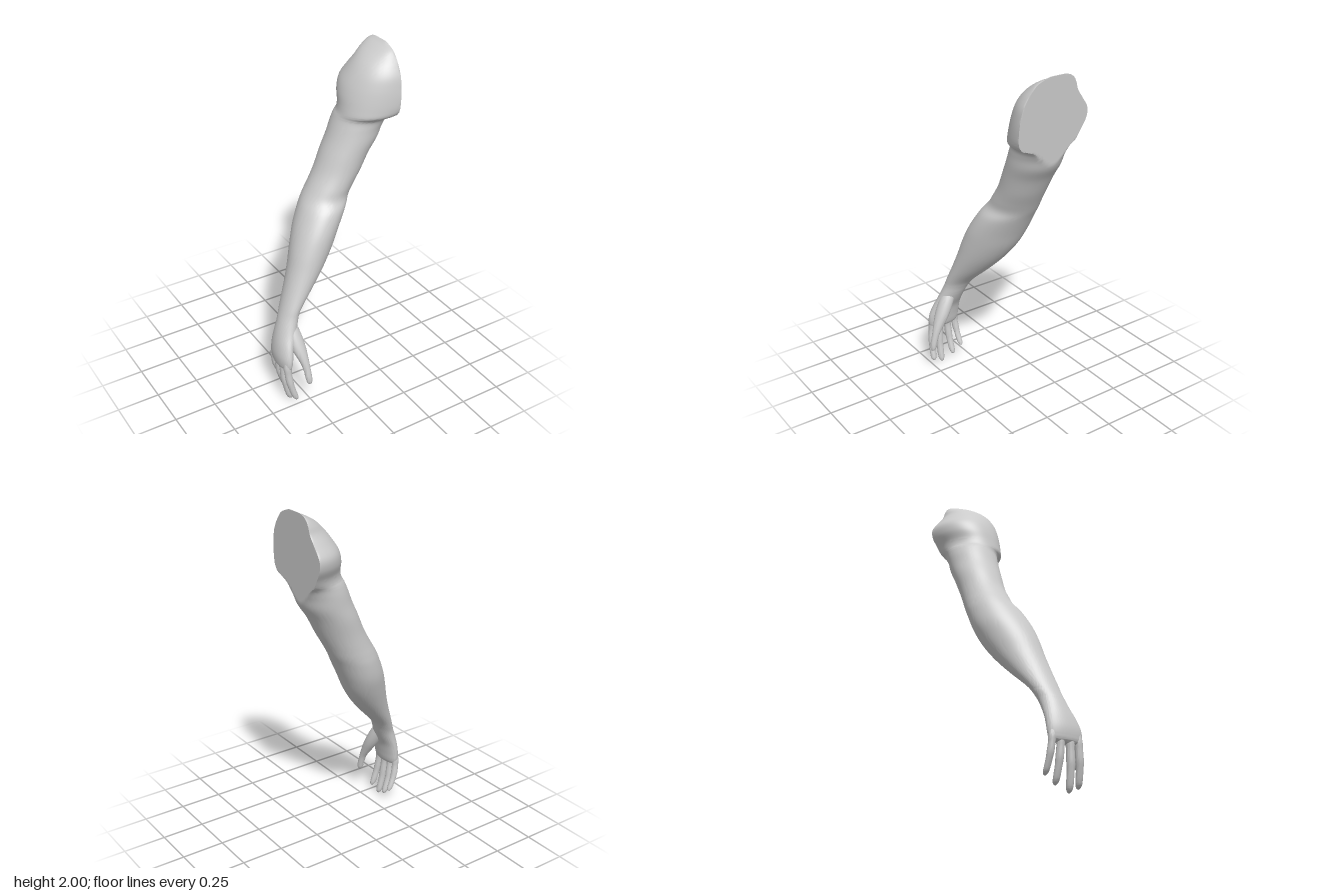
import * as THREE from 'three';
import { mergeVertices, toCreasedNormals } from 'three/addons/utils/BufferGeometryUtils.js';

const material = new THREE.MeshStandardMaterial({ color: 0xcccccc });

// The flat shoulder cut leans slightly outward towards the top
const cutX = (y) => 0.385 + 0.025 * (y - 1.45) / 0.55;

// Smooth skin through level elliptical sections [y, xMin, xMax, zMin, zMax, skew],
// listed from bottom to top, trimmed at the shoulder cut
function loft(rows, steps, sides) {
  const columns = [0, 1, 2, 3, 4, 5].map((c) =>
    new THREE.SplineCurve(rows.map((r, i) => new THREE.Vector2(i, r[c] || 0))));
  const pos = [], index = [];
  const count = (rows.length - 1) * steps;
  const centre = [];
  for (let i = 0; i <= count; i++) {
    const [y, x0, x1, z0, z1, skew] = columns.map((c) => c.getPoint(i / count).y);
    for (let j = 0; j < sides; j++) {
      const a = (j / sides) * Math.PI * 2;
      const x = (x0 + x1) / 2 + (x1 - x0) / 2 * Math.cos(a);
      const z = (z0 + z1) / 2 + (z1 - z0) / 2 * Math.sin(a + skew);
      pos.push(Math.min(x, cutX(y)), y, z);
    }
    centre.push([Math.min((x0 + x1) / 2, cutX(y)), y, (z0 + z1) / 2]);
  }
  for (let i = 0; i < count; i++) {
    for (let j = 0; j < sides; j++) {
      const a = i * sides + j, c = i * sides + (j + 1) % sides;
      index.push(a, a + sides, c, c, a + sides, c + sides);
    }
  }
  // Close both ends
  const low = pos.length / 3;
  pos.push(...centre[0], ...centre[count]);
  for (let j = 0; j < sides; j++) {
    const k = (j + 1) % sides, top = count * sides;
    index.push(low, j, k, low + 1, top + k, top + j);
  }
  const geometry = new THREE.BufferGeometry();
  geometry.setAttribute('position', new THREE.Float32BufferAttribute(pos, 3));
  geometry.setIndex(index);
  return toCreasedNormals(mergeVertices(geometry, 1e-5), 0.75);
}

// Section from its centre and radii
const oval = (y, x, z, rx, rz = rx) => [y, x - rx, x + rx, z - rz, z + rz, 0];

// Palm, wrist, forearm and elbow
const lowerArm = [
  [0.245, -0.39, -0.36, 0.1, 0.2, 0],
  [0.255, -0.405, -0.345, 0.06, 0.235, 0],
  [0.28, -0.413, -0.335, 0.045, 0.247, 0],
  [0.33, -0.415, -0.325, 0.04, 0.245, 0],
  [0.39, -0.405, -0.31, 0.038, 0.225, 0],
  [0.45, -0.388, -0.28, 0.036, 0.2, 0],
  [0.5, -0.37, -0.257, 0.03, 0.183, -0.05],
  [0.55, -0.35, -0.235, 0.012, 0.17, -0.1],
  [0.6, -0.33, -0.2, -0.01, 0.165, -0.15],
  [0.7, -0.29, -0.1, -0.06, 0.156, -0.22],
  [0.8, -0.253, -0.01, -0.11, 0.148, -0.25],
  [0.9, -0.22, 0.06, -0.155, 0.14, -0.25],
  [1.0, -0.178, 0.11, -0.19, 0.127, -0.2],
  [1.1, -0.125, 0.16, -0.205, 0.1, -0.12],
];

// Upper arm, armpit and shoulder
const upperArm = [
  [1.16, -0.087, 0.193, -0.207, 0.065, -0.08],
  [1.22, -0.048, 0.225, -0.207, 0.06, -0.05],
  [1.3, 0, 0.27, -0.21, 0.06, 0],
  [1.4, 0.045, 0.322, -0.22, 0.065, 0],
  [1.48, 0.082, 0.375, -0.224, 0.072, 0],
  [1.55, 0.11, 0.405, -0.227, 0.075, 0],
  [1.6, 0.13, 0.45, -0.228, 0.085, 0],
  [1.63, 0.14, 0.54, -0.235, 0.13, 0],
  [1.67, 0.148, 0.62, -0.252, 0.146, 0],
  [1.73, 0.158, 0.64, -0.285, 0.148, 0],
  [1.79, 0.178, 0.622, -0.289, 0.142, 0],
  [1.85, 0.212, 0.594, -0.252, 0.13, 0],
  [1.9, 0.25, 0.56, -0.218, 0.105, 0],
  [1.94, 0.295, 0.52, -0.205, 0.075, 0],
  [1.97, 0.345, 0.47, -0.19, 0.045, 0],
  [1.99, 0.388, 0.43, -0.165, 0, 0],
  [2.0, 0.405, 0.412, -0.135, -0.03, 0],
];

// One curved finger: tip height, tip x and z, base z, thickness
function finger([tipY, tipX, tipZ, baseZ, r]) {
  const baseY = 0.31;
  const path = new THREE.QuadraticBezierCurve3(
    new THREE.Vector3(tipX, tipY, tipZ),
    new THREE.Vector3(-0.392, (tipY + baseY) / 2, (tipZ * 2 + baseZ) / 3),
    new THREE.Vector3(-0.378, baseY, baseZ));
  const profile = [[0, 0.1], [0.02, 0.45], [0.06, 0.72], [0.14, 0.85], [0.35, 0.9],
    [0.5, 1], [0.7, 0.97], [0.85, 1.1], [1, 1]];
  return profile.map(([t, k]) => {
    const p = path.getPoint(t);
    return oval(p.y, p.x, p.z, r * k);
  });
}

const fingers = {
  indexFinger: [0.03, -0.335, 0.243, 0.215, 0.022],
  middleFinger: [0.0, -0.342, 0.182, 0.167, 0.023],
  ringFinger: [0.035, -0.328, 0.108, 0.117, 0.022],
  littleFinger: [0.08, -0.322, 0.052, 0.068, 0.02],
};

// Thumb with the fleshy mound at its base
const thumb = [
  oval(0.151, -0.273, 0.286, 0.003),
  oval(0.155, -0.273, 0.285, 0.011),
  oval(0.168, -0.273, 0.283, 0.017),
  oval(0.2, -0.275, 0.277, 0.02),
  oval(0.25, -0.278, 0.262, 0.022),
  oval(0.3, -0.284, 0.238, 0.029, 0.032),
  oval(0.37, -0.296, 0.2, 0.043, 0.044),
  oval(0.44, -0.305, 0.165, 0.044, 0.045),
  oval(0.5, -0.312, 0.135, 0.035, 0.038),
  oval(0.54, -0.312, 0.115, 0.012, 0.02),
];

export function createModel() {
  const model = new THREE.Group();
  const add = (name, geometry, parent = model) => {
    const mesh = new THREE.Mesh(geometry, material);
    mesh.name = name;
    parent.add(mesh);
  };
  add('arm', loft([...lowerArm, ...upperArm], 5, 96));

  const digits = new THREE.Group();
  digits.name = 'digits';
  model.add(digits);
  for (const [name, spec] of Object.entries(fingers)) add(name, loft(finger(spec), 4, 24), digits);
  add('thumb', loft(thumb, 4, 28), digits);
  return model;
}
